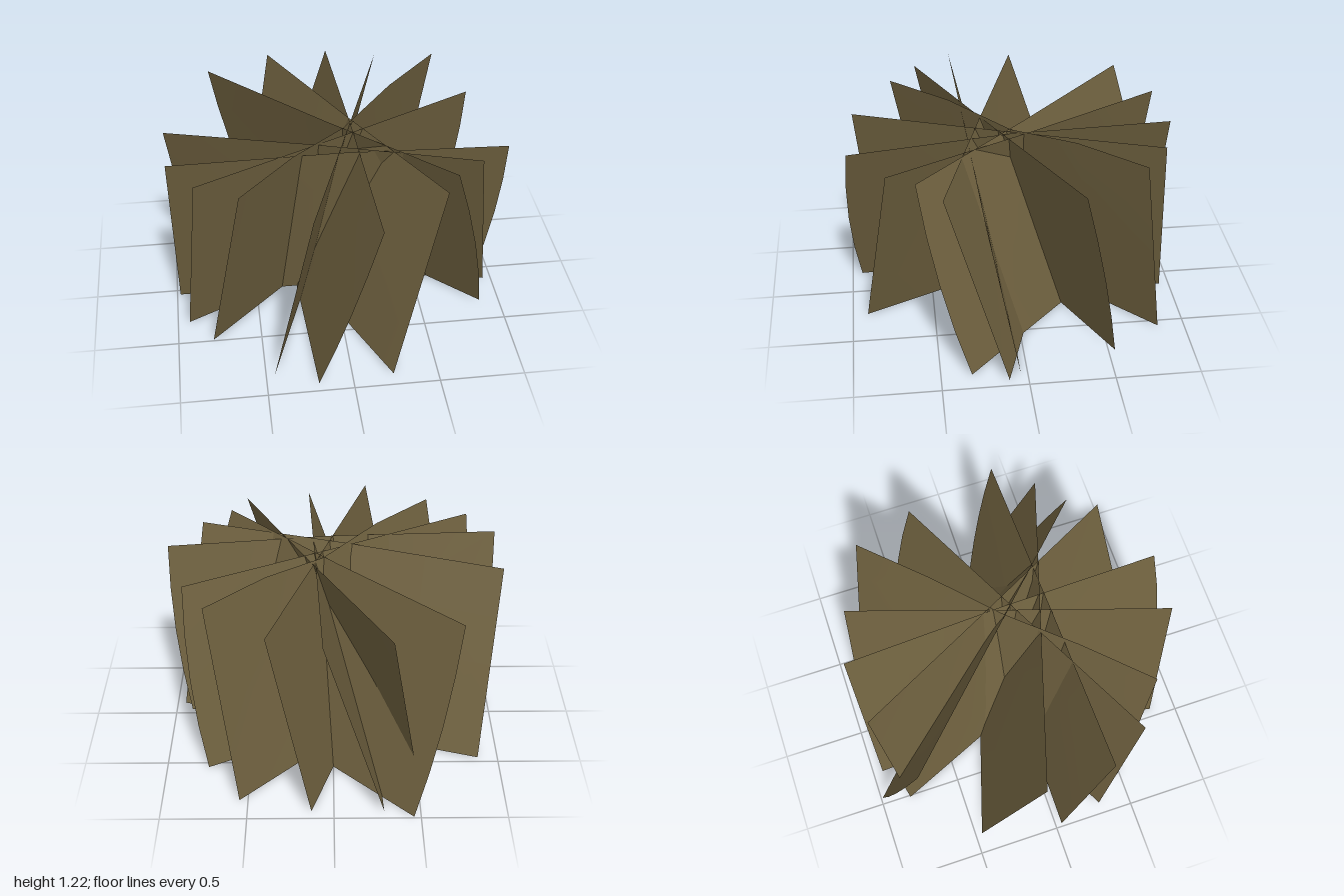
import * as THREE from 'three';

const FLOOR = 0.01; // height of the lower edges
const CROWN = 1.15; // height of the upper edges at the centre

// Flat leaf card through the centre, from end a to end b.
// top / bottom: ground positions [ax, az, bx, bz] of the leaning edges,
// heights: upper corners, bow: outward curve of each end, rise: lift of the upper edge.
function cardGeometry({ top, bottom, heights, bow = [0, 0], rise = 0 }) {
  const geo = new THREE.PlaneGeometry(1, 1, 4, 4);
  const pos = geo.attributes.position;
  const axis = new THREE.Vector3(top[0] - top[2], 0, top[1] - top[3]).normalize();
  const mix = THREE.MathUtils.lerp;
  const onEdge = (e, u, y) => new THREE.Vector3(mix(e[0], e[2], u), y, mix(e[1], e[3], u));
  for (let i = 0; i < pos.count; i++) {
    const u = pos.getX(i) + 0.5;
    const v = pos.getY(i) + 0.5;
    const s = 1 - 2 * u; // 1 at end a, -1 at end b
    const end = s > 0 ? 0 : 1;
    const crest = mix(CROWN, heights[end], Math.abs(s)) + rise * Math.sin(2 * Math.PI * u) ** 2;
    const p = onEdge(bottom, u, FLOOR).lerp(onEdge(top, u, crest), v);
    p.addScaledVector(axis, 4 * v * (1 - v) * s * Math.abs(s) * bow[end]);
    pos.setXYZ(i, p.x, p.y, p.z);
  }
  geo.computeVertexNormals();
  return geo;
}

export function createModel() {
  const group = new THREE.Group();
  group.name = 'bush';
  const foliage = new THREE.MeshStandardMaterial({ color: 0x6f613f, side: THREE.DoubleSide });
  foliage.name = 'olive foliage';

  const addCard = (name, shape) => {
    const mesh = new THREE.Mesh(cardGeometry(shape), foliage);
    mesh.name = name;
    group.add(mesh);
  };

  // Cards running mostly front to back
  addCard('leafCardBackLeaning', {
    top: [-0.32, -0.92, 0.54, 0.75], bottom: [-0.51, -0.82, 0.24, 0.91], heights: [1.16, 1.16],
  });
  addCard('leafCardFrontBack', {
    top: [0.06, -0.95, 0.15, 0.97], bottom: [-0.29, -0.94, -0.2, 0.94], heights: [1.15, 1.09], bow: [0, 0.035],
  });
  addCard('leafCardFrontBackTurned', {
    top: [0.37, -0.86, -0.22, 0.93], bottom: [0.13, -0.94, -0.45, 0.84], heights: [1.15, 1.16],
  });

  // Diagonal cards
  addCard('leafCardDiagonal', {
    top: [-0.71, -0.75, 0.63, 0.59], bottom: [-0.46, -0.99, 0.88, 0.32], heights: [1.16, 1.16], bow: [0.03, 0.04],
  });
  addCard('leafCardDiagonalTall', {
    top: [0.71, -0.68, -0.6, 0.69], bottom: [0.55, -0.84, -0.79, 0.49], heights: [1.23, 1.18], rise: 0.03,
  });

  // Cards running mostly side to side
  addCard('leafCardSideTurned', {
    top: [0.86, -0.32, -0.84, 0.53], bottom: [0.75, -0.54, -0.93, 0.31], heights: [1.15, 1.16], bow: [0.035, 0],
  });
  addCard('leafCardSide', {
    top: [1, 0.24, -0.99, 0.3], bottom: [0.9, 0.04, -0.98, 0.04], heights: [1.1, 1.16], bow: [0.03, 0],
  });
  addCard('leafCardSideLeaning', {
    top: [0.8, 0.45, -1, -0.1], bottom: [0.95, 0.11, -0.88, -0.46], heights: [1.15, 1.13],
  });
  return group;
}
